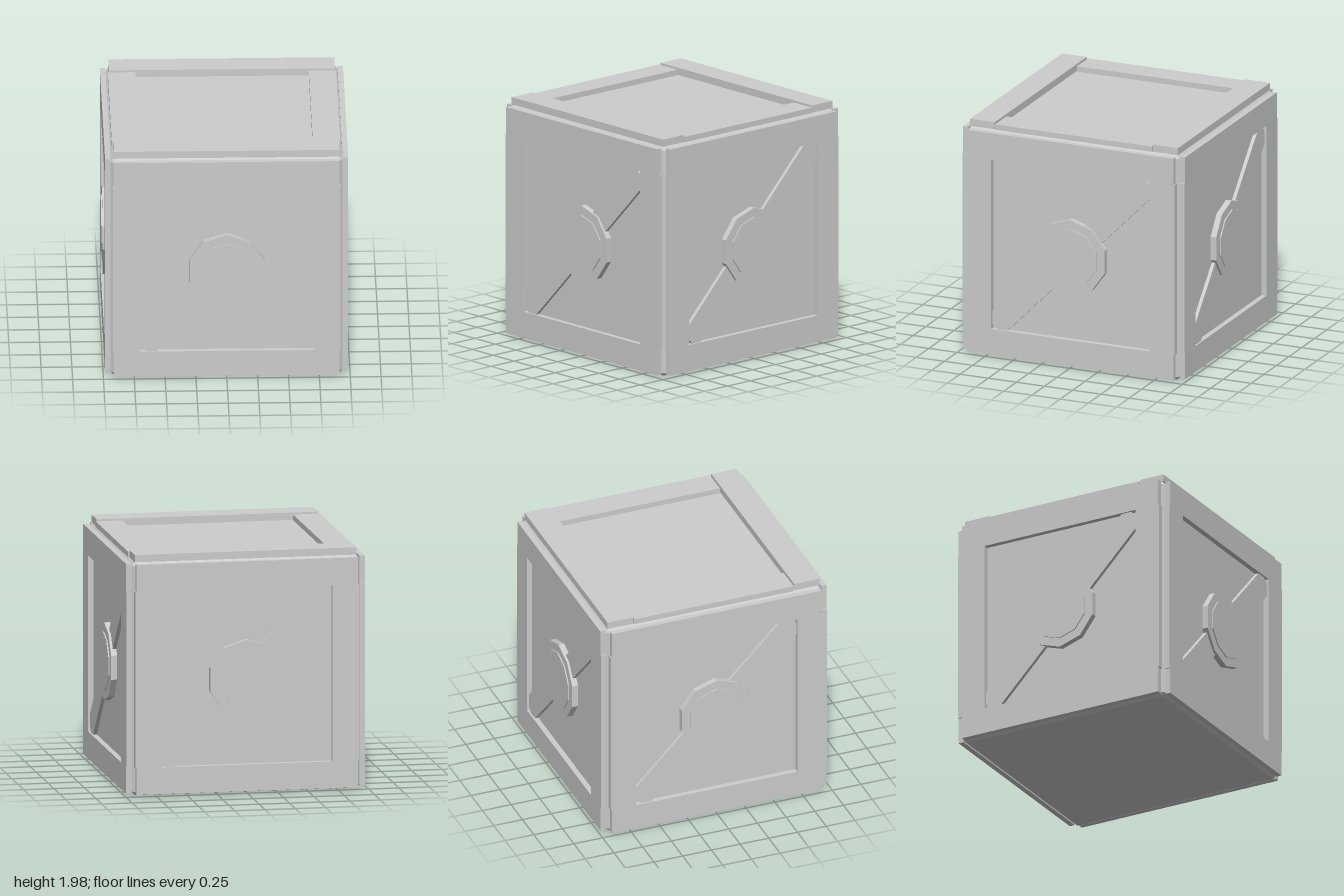
import * as THREE from 'three';
import { ConvexGeometry } from 'three/addons/geometries/ConvexGeometry.js';

const MID = 0.96; // height of the crate's centre

export function createModel() {
  const grey = new THREE.MeshStandardMaterial({ color: 0xcccccc });
  grey.name = 'grey';
  const crate = new THREE.Group();
  crate.name = 'crate';

  const add = (parent, name, geometry, x = 0, y = 0, z = 0) => {
    const mesh = new THREE.Mesh(geometry, grey);
    mesh.name = name;
    mesh.position.set(x, y, z);
    parent.add(mesh);
    return mesh;
  };
  const box = (parent, name, x0, x1, y0, y1, z0, z1) =>
    add(parent, name, new THREE.BoxGeometry(x1 - x0, y1 - y0, z1 - z0),
      (x0 + x1) / 2, (y0 + y1) / 2, (z0 + z1) / 2);

  // Core: a box with chamfered edges
  const half = [0.94, 0.96, 0.94], chamfer = 0.03, points = [];
  for (const sx of [-1, 1]) for (const sy of [-1, 1]) for (const sz of [-1, 1]) {
    for (let axis = 0; axis < 3; axis++) {
      const p = half.map((h, i) => (i === axis ? h : h - chamfer));
      points.push(new THREE.Vector3(p[0] * sx, p[1] * sy, p[2] * sz));
    }
  }
  add(crate, 'core', new ConvexGeometry(points), 0, MID, 0);

  // Diagonal brace, clipped to the frame opening
  const end = [[0.7, 0.575], [0.7, 0.68], [0.655, 0.725], [0.565, 0.725]];
  const outline = [...end, ...end.map(([x, y]) => [-x, -y])];
  const braceShape = new THREE.Shape(outline.map(([x, y]) => new THREE.Vector2(x, y)));
  const brace = new THREE.ExtrudeGeometry(braceShape, { depth: 0.03, bevelEnabled: false });

  // Ten-sided disc facing +z
  const disc = (radius, depth) => {
    const g = new THREE.CylinderGeometry(radius, radius, depth, 10).toNonIndexed();
    g.computeVertexNormals();
    return g.rotateX(Math.PI / 2);
  };

  // Four identical walls
  ['front', 'left', 'back', 'right'].forEach((side, i) => {
    const wall = new THREE.Group();
    wall.name = side + 'Wall';
    wall.rotation.y = i * Math.PI / 2;
    box(wall, 'topRail', -0.913, 0.913, 1.685, 1.908, 0.94, 0.985);
    box(wall, 'bottomRail', -0.913, 0.913, 0.015, 0.235, 0.94, 0.985);
    box(wall, 'leftStile', 0.703, 0.923, 0.235, 1.685, 0.94, 0.985);
    box(wall, 'rightStile', -0.923, -0.703, 0.235, 1.685, 0.94, 0.985);
    add(wall, 'brace', brace, 0, MID, 0.94);
    add(wall, 'medallion', disc(0.32, 0.05), 0, 0.942, 0.965);
    add(wall, 'medallionCentre', disc(0.245, 0.01), 0, 0.942, 0.995);
    crate.add(wall);
  });

  // Lid frame: two raised rails and two lower stiles
  for (const s of [-1, 1]) {
    const rail = box(crate, s > 0 ? 'frontLidRail' : 'backLidRail', -0.915, 0.915, 1.92, 1.98, 0.703, 0.923);
    rail.position.z *= s;
    const stile = box(crate, s > 0 ? 'leftLidStile' : 'rightLidStile', 0.703, 0.925, 1.92, 1.966, -0.695, 0.695);
    stile.position.x *= s;
  }
  return crate;
}
